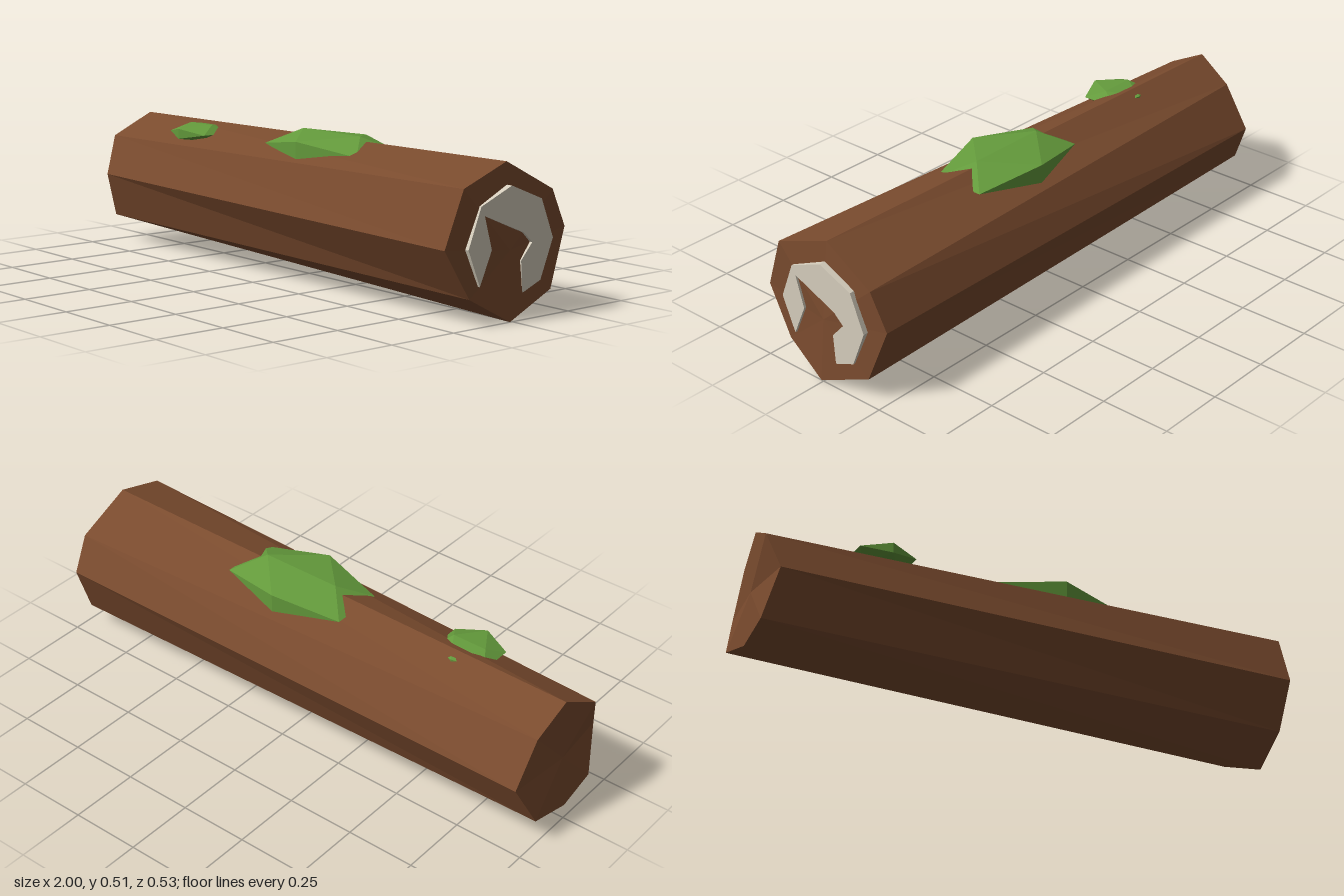
import * as THREE from 'three';

const bark = new THREE.MeshStandardMaterial({ color: 0x7a4b2e, flatShading: true });
const wood = new THREE.MeshStandardMaterial({ color: 0xd6cebd, flatShading: true });
const green = new THREE.MeshStandardMaterial({ color: 0x649b3c, flatShading: true });

// Eight-sided end rings [x, y, z], from the top round by the front
const leftRing = [
  [-0.98, 0.48, -0.01], [-1, 0.4, 0.14], [-0.965, 0.26, 0.2], [-1, 0.095, 0.14],
  [-1, 0.055, 0], [-1, 0.1, -0.17], [-0.96, 0.25, -0.24], [-0.965, 0.4, -0.14],
];
const rightRing = [
  [0.96, 0.5, -0.005], [0.98, 0.435, 0.195], [0.97, 0.25, 0.263], [0.98, 0.088, 0.167],
  [1, 0, 0.01], [0.98, 0.077, -0.188], [0.965, 0.27, -0.263], [0.97, 0.397, -0.2],
];

// Irregular trunk: side quads and a fan over each end
function trunkGeometry() {
  const leftCentre = [-0.985, 0.255, -0.01], rightCentre = [0.986, 0.225, 0];
  const points = [];
  leftRing.forEach((l, i) => {
    const j = (i + 1) % leftRing.length;
    const l2 = leftRing[j], r = rightRing[i], r2 = rightRing[j];
    points.push(l, l2, r2, l, r2, r, rightCentre, r, r2, leftCentre, l2, l);
  });
  const g = new THREE.BufferGeometry();
  g.setAttribute('position', new THREE.Float32BufferAttribute(points.flat(), 3));
  g.computeVertexNormals();
  return g;
}

// Pale heartwood showing round the split bark on the right end, as [z, y]
function heartwoodGeometry() {
  const outline = [
    [0.132, 0.125], [0.182, 0.245], [0.13, 0.375], [0, 0.428], [-0.132, 0.375],
    [-0.185, 0.245], [-0.132, 0.115], [-0.052, 0.083], [-0.045, 0.187],
    [-0.093, 0.24], [-0.055, 0.275], [0.115, 0.345], [0.083, 0.235],
  ];
  const shape = new THREE.Shape(outline.map(([z, y]) => new THREE.Vector2(-z, y)));
  const g = new THREE.ExtrudeGeometry(shape, { depth: 0.03, bevelEnabled: false });
  return g.rotateY(Math.PI / 2).translate(0.96, 0, 0);
}

export function createModel() {
  const log = new THREE.Group();
  log.name = 'log';

  const add = (name, geometry, material) => {
    const mesh = new THREE.Mesh(geometry, material);
    mesh.name = name;
    log.add(mesh);
    return mesh;
  };

  add('trunk', trunkGeometry(), bark);
  add('heartwood', heartwoodGeometry(), wood);

  // Flattened moss clumps half sunk into the top
  const clumps = [
    ['largeMoss', [0.115, 0.455, -0.003], [0.288, 0.063, 0.184]],
    ['smallMoss', [-0.555, 0.45, 0.057], [0.122, 0.035, 0.122]],
  ];
  for (const [name, position, radii] of clumps) {
    const moss = add(name, new THREE.IcosahedronGeometry(1, 0).scale(...radii), green);
    moss.position.set(...position);
  }
  return log;
}
